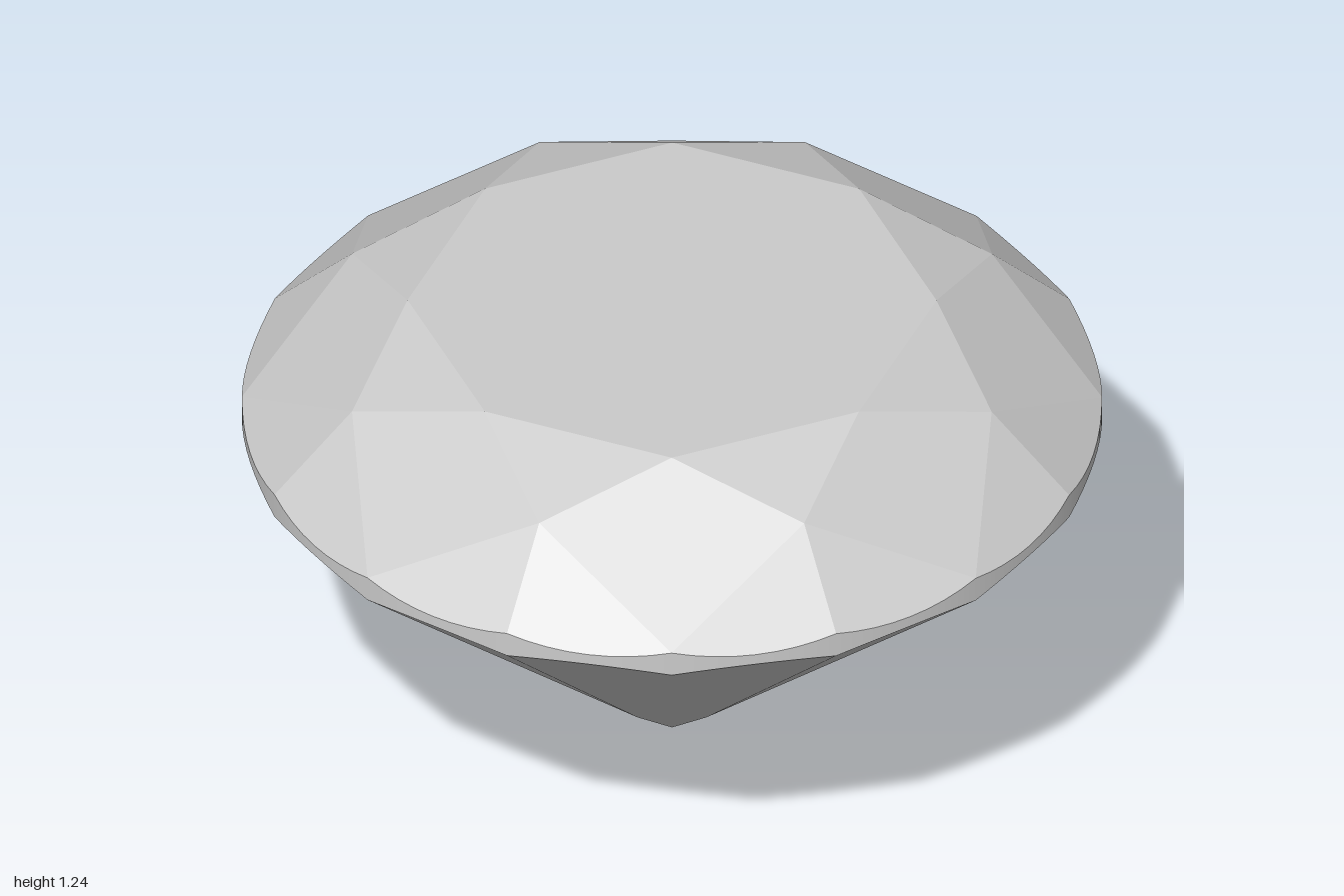
import * as THREE from 'three';

const STEP = Math.PI / 8;   // 16 girdle corners
const ARC = 8;              // segments per girdle scallop
const TABLE_R = 0.615, TABLE_Y = 1.237;
const STAR_R = 0.805, STAR_Y = 1.143;
const CROWN_Y = 0.957, PAVILION_Y = 0.893;
const LOWER_R = 0.21, LOWER_Y = PAVILION_Y * LOWER_R * Math.cos(STEP);

// Point at radius r, height y, angle in girdle steps from the front
const at = (r, y, k) => new THREE.Vector3(r * Math.sin(k * STEP), y, r * Math.cos(k * STEP));

// Curved edge where a half facet's plane cuts the round girdle, from corner k to k + 1
function scallop(k, edgeY, innerR, innerY) {
  const c = Math.cos(STEP / 2);
  const slope = (edgeY - innerY) / (c - innerR * c);
  return Array.from({ length: ARC + 1 }, (_, i) => {
    const t = i / ARC;
    return at(1, edgeY + slope * (Math.cos((t - 0.5) * STEP) - c), k + t);
  });
}
const upperEdge = (k) => scallop(k, CROWN_Y, STAR_R, STAR_Y);
const lowerEdge = (k) => scallop(k, PAVILION_Y, LOWER_R, LOWER_Y);

// Mesh of flat polygons, each a fan from its first corner
function facets(name, polygons) {
  const points = [];
  for (const p of polygons) {
    for (let i = 1; i < p.length - 1; i++) points.push(p[0], p[i], p[i + 1]);
  }
  const geometry = new THREE.BufferGeometry().setFromPoints(points);
  geometry.computeVertexNormals();
  const mesh = new THREE.Mesh(geometry, new THREE.MeshStandardMaterial({ color: 0xcccccc, flatShading: true }));
  mesh.name = name;
  return mesh;
}

// Smooth round band between the two scalloped edges
function girdle() {
  const points = [];
  for (let k = 0; k < 16; k++) {
    const up = upperEdge(k), low = lowerEdge(k);
    for (let i = 0; i < ARC; i++) {
      points.push(low[i], low[i + 1], up[i + 1], low[i], up[i + 1], up[i]);
    }
  }
  const geometry = new THREE.BufferGeometry().setFromPoints(points);
  const normals = points.flatMap((p) => [p.x, 0, p.z]);
  geometry.setAttribute('normal', new THREE.Float32BufferAttribute(normals, 3));
  const mesh = new THREE.Mesh(geometry, new THREE.MeshStandardMaterial({ color: 0xcccccc }));
  mesh.name = 'girdle';
  return mesh;
}

export function createModel() {
  const gem = new THREE.Group();
  gem.name = 'brilliantCutGem';
  const culet = new THREE.Vector3(0, 0, 0);
  const table = [], stars = [], kites = [], upperHalves = [], mains = [], lowerHalves = [];

  // Eightfold facets: table corners and kites on even steps, stars on odd steps
  for (let k = 0; k < 16; k += 2) {
    const corner = at(TABLE_R, TABLE_Y, k);
    table.push(corner);
    stars.push([corner, at(STAR_R, STAR_Y, k + 1), at(TABLE_R, TABLE_Y, k + 2)]);
    kites.push([corner, at(STAR_R, STAR_Y, k - 1), at(1, CROWN_Y, k), at(STAR_R, STAR_Y, k + 1)]);
    mains.push([culet, at(LOWER_R, LOWER_Y, k + 1), at(1, PAVILION_Y, k), at(LOWER_R, LOWER_Y, k - 1)]);
  }

  // Sixteen half facets above and below the girdle
  for (let k = 0; k < 16; k++) {
    const odd = k % 2 ? k : k + 1;
    upperHalves.push([at(STAR_R, STAR_Y, odd), ...upperEdge(k)]);
    lowerHalves.push([at(LOWER_R, LOWER_Y, odd), ...lowerEdge(k).reverse()]);
  }

  gem.add(
    facets('table', [table]),
    facets('starFacets', stars),
    facets('kiteFacets', kites),
    facets('upperHalfFacets', upperHalves),
    girdle(),
    facets('lowerHalfFacets', lowerHalves),
    facets('pavilionMainFacets', mains),
  );
  return gem;
}
